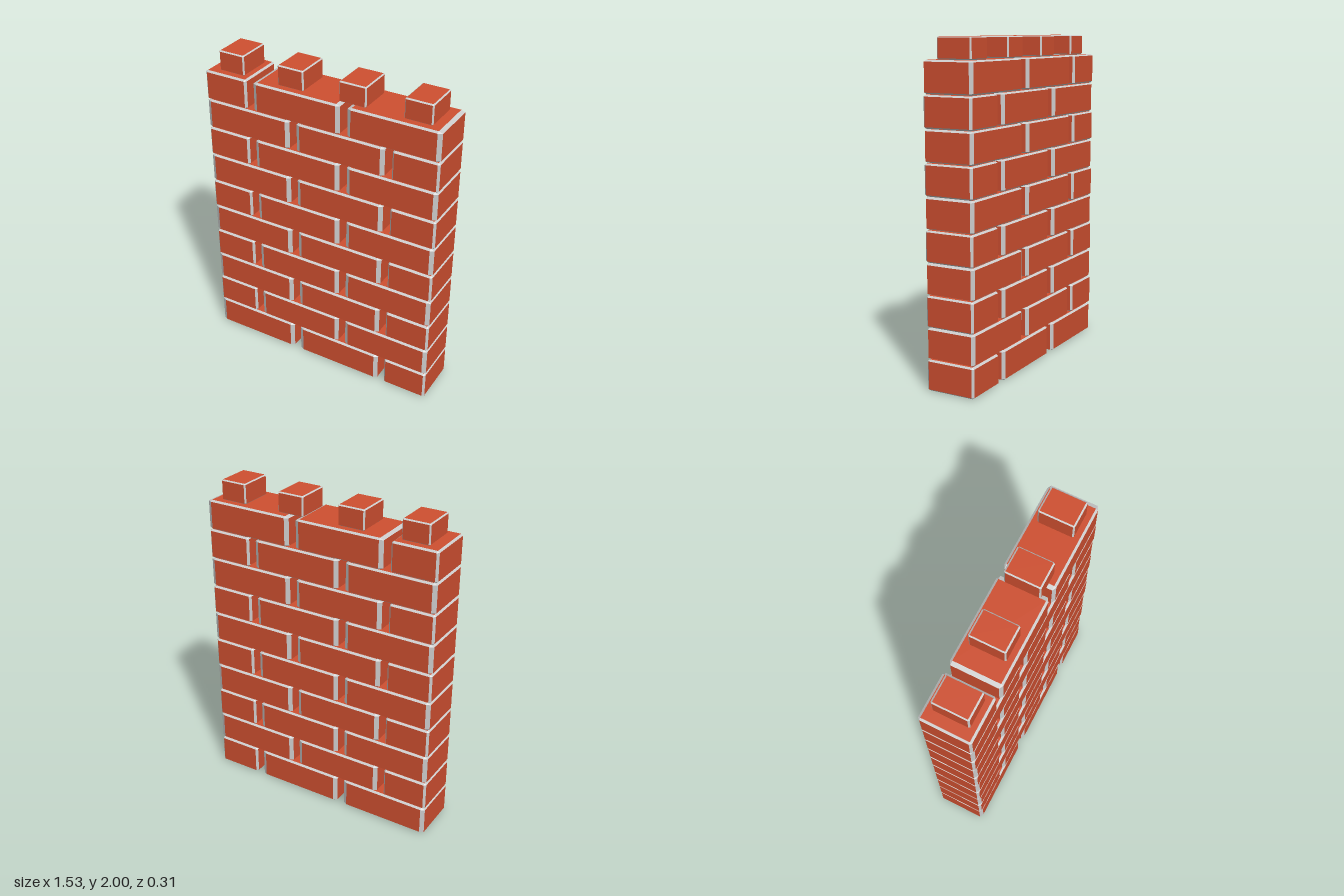
import * as THREE from 'three';

const red = new THREE.MeshStandardMaterial({ color: 0xce4f30 });
const grey = new THREE.MeshStandardMaterial({ color: 0xcccccc });

// Flat-shaded geometry from convex polygons, each turned to face outwards
function outwardFaces(polygons) {
  const points = [];
  for (const poly of polygons) {
    const [a, b, c] = poly;
    const normal = b.clone().sub(a).cross(c.clone().sub(a));
    const p = normal.dot(a) < 0 ? [...poly].reverse() : poly;
    for (let i = 1; i < p.length - 1; i++) points.push(p[0], p[i], p[i + 1]);
  }
  const geometry = new THREE.BufferGeometry().setFromPoints(points);
  geometry.computeVertexNormals();
  return geometry;
}

// Unit block with chamfered edges: red sides and top, grey chamfers and underside
function chamferedBlock(cut) {
  const half = new THREE.Vector3(0.5, 0.5, 0.5);
  const inner = half.clone().sub(cut);
  // Corner with the given signs, lying on the face across the given axis
  const corner = (signs, axis) => new THREE.Vector3(...[0, 1, 2].map(
    (i) => signs[i] * (i === axis ? half : inner).getComponent(i)));
  const signsOf = (axis, s, u, v) => {
    const signs = [0, 0, 0];
    signs[axis] = s;
    signs[(axis + 1) % 3] = u;
    signs[(axis + 2) % 3] = v;
    return signs;
  };
  const faces = [], trim = [];
  for (let axis = 0; axis < 3; axis++) {
    const b = (axis + 1) % 3, c = (axis + 2) % 3;
    for (const s of [-1, 1]) {
      // Main face
      const quad = [[-1, -1], [1, -1], [1, 1], [-1, 1]]
        .map(([u, v]) => corner(signsOf(axis, s, u, v), axis));
      (axis === 1 && s < 0 ? trim : faces).push(quad);
      // Edge chamfers running along this axis
      for (const t of [-1, 1]) {
        const lo = signsOf(axis, -1, s, t), hi = signsOf(axis, 1, s, t);
        trim.push([corner(lo, b), corner(hi, b), corner(hi, c), corner(lo, c)]);
      }
    }
  }
  // Corner triangles
  for (const x of [-1, 1]) for (const y of [-1, 1]) for (const z of [-1, 1]) {
    trim.push([0, 1, 2].map((axis) => corner([x, y, z], axis)));
  }
  return { faces: outwardFaces(faces), trim: outwardFaces(trim) };
}

export function createModel() {
  const wall = new THREE.Group();
  wall.name = 'brickWall';
  const block = chamferedBlock(new THREE.Vector3(0.044, 0.05, 0.043));

  function addBrick(parent, name, x, bottom, width, height, depth) {
    const brick = new THREE.Group();
    brick.name = name;
    const faces = new THREE.Mesh(block.faces, red);
    faces.name = 'brickFaces';
    const trim = new THREE.Mesh(block.trim, grey);
    trim.name = 'brickChamfers';
    brick.add(faces, trim);
    brick.position.set(x, bottom + height / 2, 0);
    brick.scale.set(width, height, depth);
    parent.add(brick);
  }

  // Ten courses, each mirrored from the one below
  const long = 0.574, short = 0.287, gap = 0.0475;
  const pitch = 0.1878, height = 0.185, depth = 0.312;
  for (let row = 0; row < 10; row++) {
    const course = new THREE.Group();
    course.name = `course${row + 1}`;
    const side = row % 2 ? -1 : 1;
    let x = -(2 * long + short + 2 * gap) / 2;
    for (const width of [long, long, short]) {
      addBrick(course, width === long ? 'longBrick' : 'halfBrick',
        side * (x + width / 2), row * pitch, width, height, depth);
      x += width + gap;
    }
    wall.add(course);
  }

  // Battlement blocks along the top
  const top = 9 * pitch + height;
  for (let i = 0; i < 4; i++) {
    addBrick(wall, 'battlement', (i - 1.5) * 0.4025, top, 0.172, 2 - top, 0.222);
  }
  return wall;
}
